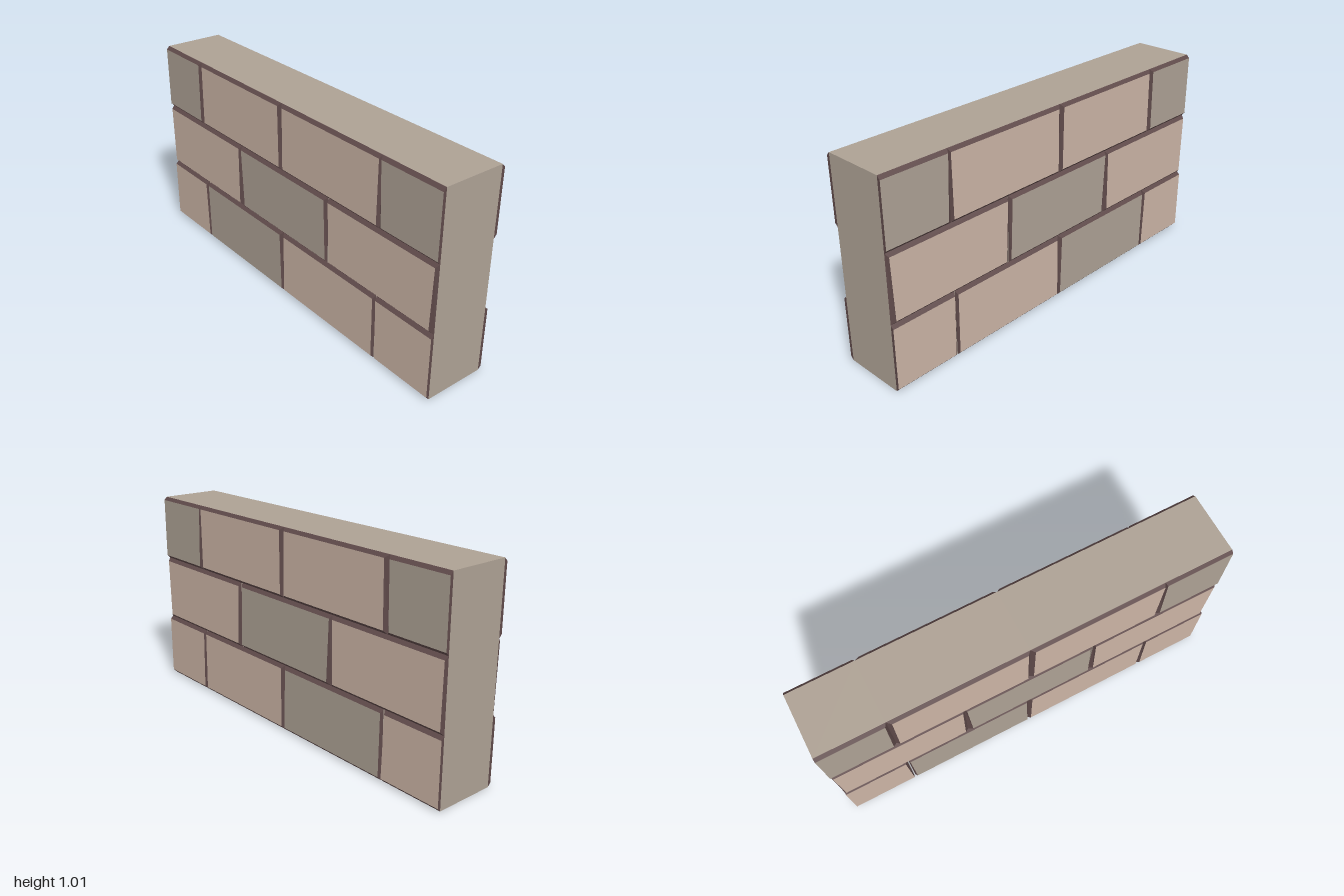
import * as THREE from 'three';

const faceZ = 0.167, bodyZ = 0.152, bevel = 0.016;
const tan = new THREE.MeshStandardMaterial({ color: 0xcbb4a5 });
const grey = new THREE.MeshStandardMaterial({ color: 0xada194 });
const mortar = new THREE.MeshStandardMaterial({ color: 0x5f4a4a });

// Joints along each course: x at the body, gap, then the x of the neighbouring
// faces: left brick (bottom, top) and right brick (bottom, top)
const end = (x, bottom = x, top = x) => [x, 0, bottom, top, bottom, top];
const courses = [
  {
    y: [0.002, 0.338], colors: [tan, grey, tan, tan],
    joints: [end(-1), [-0.668, 0.006, -0.674, -0.684, -0.656, -0.66],
      [-0.006, 0, -0.013, -0.022, 0.008, 0.01],
      [0.657, 0.004, 0.651, 0.647, 0.675, 0.667], end(1)],
  },
  {
    y: [0.338, 0.673], colors: [tan, grey, tan],
    joints: [end(-1, -0.99, -0.994), [-0.34, 0, -0.357, -0.353, -0.317, -0.332],
      [0.33, 0.007, 0.323, 0.311, 0.352, 0.339], end(1, 0.981, 0.989)],
  },
  {
    y: [0.673, 1.008], colors: [grey, tan, tan, grey],
    joints: [end(-1), [-0.677, 0, -0.693, -0.688, -0.662, -0.657],
      [-0.007, 0, -0.018, -0.022, 0.01, 0.012],
      [0.658, 0, 0.65, 0.652, 0.679, 0.666], end(1)],
  },
];

// Mesh made of flat quads, each given as four counter-clockwise corners
function quadMesh(name, quads, material) {
  const positions = quads.flatMap(([a, b, c, d]) => [a, b, c, a, c, d].flat());
  const geometry = new THREE.BufferGeometry();
  geometry.setAttribute('position', new THREE.Float32BufferAttribute(positions, 3));
  geometry.computeVertexNormals();
  const mesh = new THREE.Mesh(geometry, material);
  mesh.name = name;
  return mesh;
}

// Four-sided band joining two rings, the first ring lying further back
const band = (back, front) => back.map((p, i) => {
  const j = (i + 1) % 4;
  return [p, back[j], front[j], front[i]];
});

function makeBrick([y0, y1], left, right, color) {
  const bodyRing = (z) => {
    const x0 = left[0] + left[1] / 2, x1 = right[0] - right[1] / 2;
    return [[x0, y0, z], [x1, y0, z], [x1, y1, z], [x0, y1, z]];
  };
  const faceRing = (z) => [
    [left[4], y0 + bevel, z], [right[2], y0 + bevel, z],
    [right[3], y1 - bevel, z], [left[5], y1 - bevel, z],
  ];
  const backFace = faceRing(-faceZ), backBody = bodyRing(-bodyZ);
  const frontBody = bodyRing(bodyZ), frontFace = faceRing(faceZ);

  const brick = new THREE.Group();
  brick.name = 'brick';
  brick.add(
    quadMesh('brickBody', band(backBody, frontBody), grey),
    quadMesh('brickBevels', [...band(backFace, backBody), ...band(frontBody, frontFace)], mortar),
    quadMesh('brickFaces', [frontFace, [...backFace].reverse()], color),
  );
  return brick;
}

export function createModel() {
  const wall = new THREE.Group();
  wall.name = 'brickWall';
  courses.forEach(({ y, colors, joints }) => {
    const course = new THREE.Group();
    course.name = 'brickCourse';
    colors.forEach((color, i) => course.add(makeBrick(y, joints[i], joints[i + 1], color)));
    wall.add(course);
  });
  return wall;
}
